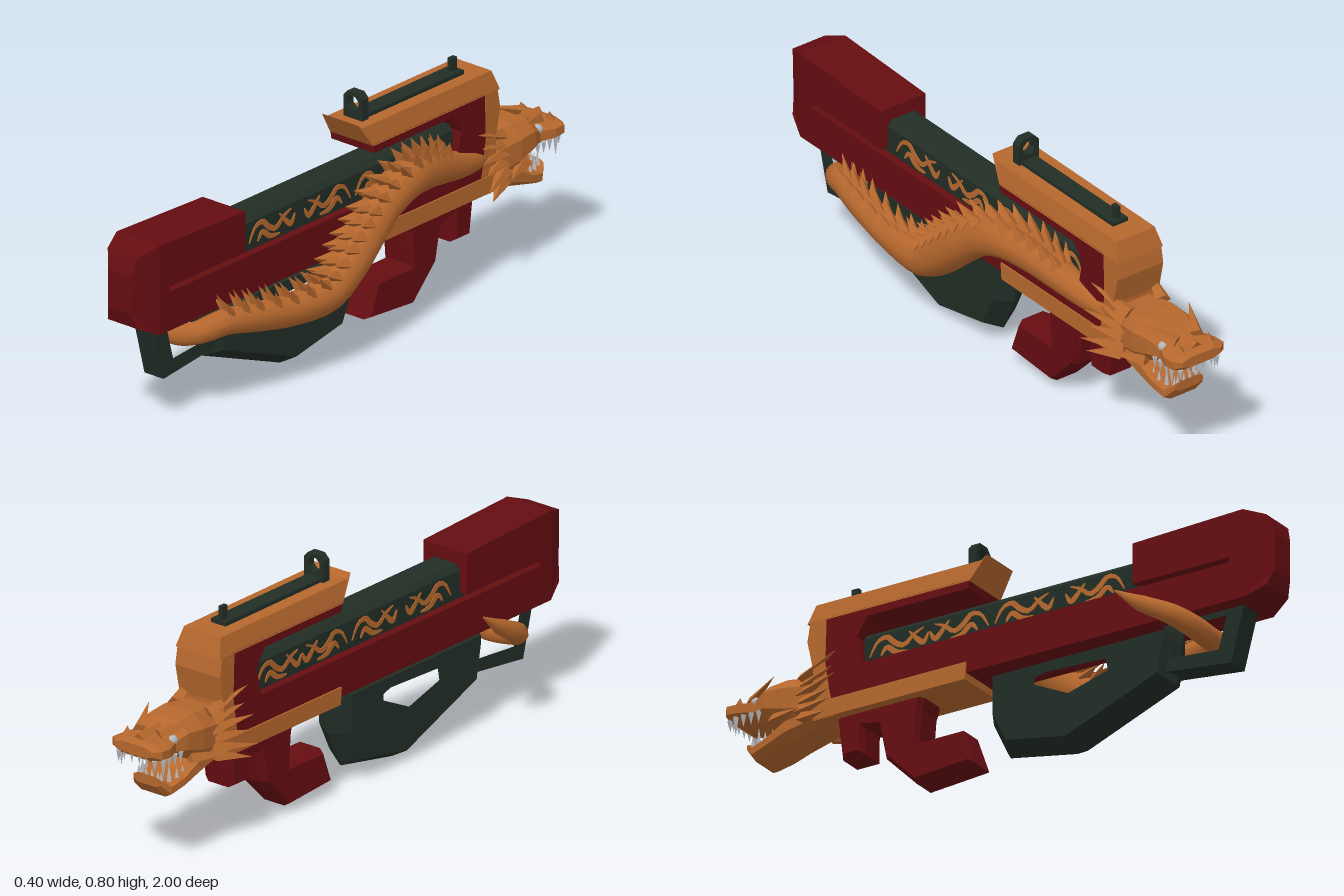
import * as THREE from 'three';

const mat = (name, color) => { const m = new THREE.MeshStandardMaterial({ color }); m.name = name; return m; };
const CX = -0.017; // centre line of the frame

// Slab cut from a [z, y] outline, h = half width across x
function slab(pts, h, { holes = [], bevel = 0, side = 0 } = {}) {
  const shape = new THREE.Shape(pts.map(p => new THREE.Vector2(...p)));
  for (const hole of holes) shape.holes.push(new THREE.Path(hole.map(p => new THREE.Vector2(...p))));
  const depth = 2 * (h - side);
  const g = new THREE.ExtrudeGeometry(shape, {
    depth, bevelEnabled: bevel > 0, bevelSegments: 1, bevelSize: bevel, bevelThickness: side, bevelOffset: -bevel,
  });
  return g.translate(0, 0, -depth / 2).rotateY(-Math.PI / 2).translate(CX, 0, 0);
}

// Change x about the centre line by a rule, then refresh the facets
function widen(g, rule) {
  const p = g.attributes.position;
  for (let i = 0; i < p.count; i++) p.setX(i, CX + (p.getX(i) - CX) * rule(p.getY(i), p.getZ(i)));
  g.computeVertexNormals();
  return g;
}

// Skin over rings of points, with closed ends
function loft(rings, smooth) {
  const n = rings[0].length, pos = [], idx = [], last = (rings.length - 1) * n;
  rings.forEach(r => r.forEach(v => pos.push(v.x, v.y, v.z)));
  for (let i = 0; i < rings.length - 1; i++) for (let j = 0; j < n; j++) {
    const a = i * n + j, b = i * n + (j + 1) % n;
    idx.push(a, b, b + n, a, b + n, a + n);
  }
  for (let j = 1; j < n - 1; j++) idx.push(0, j + 1, j, last, last + j, last + j + 1);
  let g = new THREE.BufferGeometry();
  g.setAttribute('position', new THREE.Float32BufferAttribute(pos, 3));
  g.setIndex(idx);
  if (!smooth) g = g.toNonIndexed();
  g.computeVertexNormals();
  return g;
}

// Chamfered head sections [z, yLow, yHigh, halfWidth], running towards -z
const SECTION = [[1, .45], [1, -.45], [.65, -1], [-.65, -1], [-1, -.45], [-1, .45], [-.6, 1], [.6, 1]];
const headLoft = rows => loft(rows.map(([z, a, b, h]) =>
  SECTION.map(([u, v]) => new THREE.Vector3(CX + u * h, (a + b) / 2 + v * (b - a) / 2, z))), false);

function spike(base, dir, len, r, flat = 1) {
  const g = new THREE.ConeGeometry(r, len, 4).toNonIndexed();
  g.computeVertexNormals();
  g.translate(0, len / 2, 0).scale(1, 1, flat);
  g.applyQuaternion(new THREE.Quaternion().setFromUnitVectors(new THREE.Vector3(0, 1, 0), dir.clone().normalize()));
  return g.translate(base.x, base.y, base.z);
}

// Tapered flat ribbon outline along [z, y] points
function ribbon(pts, w) {
  const c = new THREE.SplineCurve(pts.map(p => new THREE.Vector2(...p)));
  const a = [], b = [], N = 14;
  for (let i = 0; i <= N; i++) {
    const p = c.getPoint(i / N), t = c.getTangent(i / N), k = w * (0.2 + 0.8 * Math.sin(Math.PI * i / N));
    a.push([p.x - t.y * k, p.y + t.x * k]);
    b.unshift([p.x + t.y * k, p.y - t.x * k]);
  }
  return a.concat(b);
}

export function createModel() {
  const root = new THREE.Group();
  const gold = mat('bronze gold', 0xb5672d), red = mat('dark red', 0x650d11);
  const dark = mat('dark green', 0x212d25), grey = mat('ivory grey', 0xb4b6ba);
  const add = (name, g, m) => { const o = new THREE.Mesh(g, m); o.name = name; root.add(o); return o; };
  const V = (x, y, z) => new THREE.Vector3(x, y, z);

  // Red shell: stock with slot, lower body, front block and strip under the top rail
  add('shell', slab([[.91, .635], [.91, .335], [-.64, .335], [-.64, .65], [-.095, .65], [-.1, .62], [-.47, .62],
    [-.51, .56], [-.49, .466], [.86, .466], [.86, .483], [.505, .483], [.505, .62]], .088), red);
  add('buttEnd', widen(slab([[.91, .635], [.98, .61], [1, .55], [1, .425], [.98, .37], [.91, .335]], .088),
    (y, z) => z > .99 ? .5 : z > .95 ? .72 : 1), red);

  // Magazine lying along the top
  const magShape = new THREE.Shape([[-.06, .45], [.06, .45], [.06, .558], [.043, .576], [-.043, .576], [-.06, .558]]
    .map(p => new THREE.Vector2(...p)));
  const mag = new THREE.ExtrudeGeometry(magShape, { depth: 1.03, bevelEnabled: false });
  add('magazine', mag.translate(CX, 0, -.5), dark);

  // Scroll ornaments on both magazine sides
  const scrolls = [
    [[.12, -.025], [.09, .02], [.05, .03], [.02, .005], [-.02, -.012], [-.06, .015], [-.1, .03]],
    [[.075, -.03], [.05, -.005], [.01, -.03], [-.04, -.035]],
    [[-.04, .03], [-.075, -.005], [-.1, -.02], [-.12, .01]],
  ];
  [.35, .09, -.15, -.37].forEach((z0, i) => {
    const f = i % 2 ? -1 : 1;
    for (const s of scrolls)
      add('scrollOrnament', slab(ribbon(s.map(([z, y]) => [z0 + f * z * .9, .514 + y]), .0095), .063), gold);
  });

  // Gold frame: tapered top rail, front post and lower rail
  add('topRail', widen(slab([[-.04, .727], [-.058, .712], [-.667, .71], [-.69, .645], [-.095, .645]], .089),
    y => y > .69 ? .83 : 1), gold);
  add('frontPost', slab([[-.62, .65], [-.678, .65], [-.69, .585], [-.67, .49], [-.67, .31], [-.59, .31], [-.61, .4], [-.625, .5]], .09), gold);
  add('lowerRail', slab([[-.105, .37], [-.11, .312], [-.66, .312], [-.66, .37]], .093), gold);

  // Sights
  add('sightBase', slab([[-.11, .7], [-.59, .7], [-.59, .724], [-.11, .724]], .029), dark);
  add('frontSight', slab([[-.555, .71], [-.58, .71], [-.58, .767], [-.555, .767]], .008), dark);
  const ring = new THREE.Shape([[-.039, .7], [.039, .7], [.039, .782], [.021, .801], [-.021, .801], [-.039, .782]]
    .map(p => new THREE.Vector2(...p)));
  const eyelet = new THREE.Path();
  for (let i = 0; i < 8; i++) {
    const a = (i + .5) * Math.PI / 4;
    eyelet[i ? 'lineTo' : 'moveTo'](.025 * Math.cos(a), .763 + .025 * Math.sin(a));
  }
  ring.holes.push(eyelet);
  add('rearSight', new THREE.ExtrudeGeometry(ring, { depth: .03, bevelEnabled: false }).translate(CX, 0, -.13), dark);

  // Grips
  add('rearGrip', slab([[.635, .345], [.635, .28], [.61, .145], [.245, .003], [0, .05], [-.06, .175], [-.06, .345]], .065,
    { holes: [[[.44, .2], [.25, .145], [.095, .22], [.095, .29], [.16, .31], [.42, .3]]], bevel: .035, side: .063 }), dark);
  add('rearLoop', slab([[.885, .34], [.835, .15], [.58, .18], [.59, .34]], .039,
    { holes: [[[.82, .315], [.79, .205], [.61, .22], [.62, .315]]] }), dark);
  add('frontGrip', slab([[-.28, .34], [-.3, .275], [-.31, .165], [-.147, .165], [-.105, .045], [-.32, .028], [-.43, .14],
    [-.452, .25], [-.51, .265], [-.51, .175], [-.59, .175], [-.61, .34]], .06, { bevel: .012, side: .02 }), red);

  // Serpent body: [x, y, z, radius] from tail tip to neck
  const path = [[-.183, .432, .49, .003], [-.178, .37, .58, .026], [-.16, .315, .68, .034], [-.105, .28, .73, .036],
    [0, .265, .74, .037], [.07, .285, .725, .038], [.1, .3, .64, .042], [.118, .283, .52, .048], [.13, .258, .355, .052],
    [.137, .268, .195, .062], [.137, .34, .09, .067], [.135, .41, .01, .067], [.128, .47, -.07, .065], [.12, .513, -.18, .065],
    [.098, .507, -.29, .063], [.08, .48, -.39, .055], [.06, .447, -.5, .045], [.04, .425, -.62, .036]];
  const curve = new THREE.CatmullRomCurve3(path.map(p => V(p[0], p[1], p[2])));
  const frame = t => {
    const f = t * (path.length - 1), i = Math.min(Math.floor(f), path.length - 2);
    const p = curve.getPoint(t), d = curve.getTangent(t);
    const s = d.clone().cross(V(0, 1, 0)).normalize(), u = s.clone().cross(d);
    return { p, d, s, u, r: THREE.MathUtils.lerp(path[i][3], path[i + 1][3], f - i) };
  };
  const rings = [];
  for (let i = 0; i <= 51; i++) {
    const { p, s, u, r } = frame(i / 51);
    rings.push(Array.from({ length: 10 }, (_, j) => {
      const a = j * Math.PI / 5;
      return p.clone().addScaledVector(u, r * Math.cos(a)).addScaledVector(s, r * Math.sin(a));
    }));
  }
  add('serpentBody', loft(rings, true), gold);

  // Back spines leaning towards the tail
  for (let i = 0; i < 21; i++) {
    const { p, d, s, u, r } = frame(.36 + i * .0265);
    for (const k of [-.45, 0, .45]) {
      const dir = u.clone().addScaledVector(d, -.75).addScaledVector(s, k * .7);
      const base = p.clone().addScaledVector(u, r * .75).addScaledVector(s, k * r);
      add('backSpine', spike(base, dir, (k ? .045 : .07) + r * .35, r * .42, .8), gold);
    }
  }

  // Head: skull with upper snout, and open lower jaw
  add('skull', headLoft([[-.6, .33, .47, .075], [-.7, .32, .48, .09], [-.78, .335, .49, .1], [-.85, .365, .485, .095],
    [-.89, .38, .455, .08], [-.94, .385, .45, .1], [-.98, .39, .45, .1], [-1, .405, .44, .075]]), gold);
  add('lowerJaw', headLoft([[-.66, .31, .38, .08], [-.78, .28, .36, .085], [-.85, .262, .315, .082],
    [-.905, .247, .3, .075], [-.935, .285, .318, .055]]), gold);
  add('noseRidge', spike(V(CX, .44, -.97), V(0, .25, 1), .14, .03), gold);

  for (const s of [-1, 1]) {
    // Eyes, brows, nostrils and cheek horns
    add('eye', new THREE.SphereGeometry(.017, 8, 6).translate(CX + s * .068, .437, -.892), grey);
    add('brow', spike(V(CX + s * .04, .458, -.925), V(s * .5, .3, 1), .14, .026, .7), gold);
    add('nostril', spike(V(CX + s * .055, .435, -.965), V(s * .1, 1, .2), .04, .026), gold);
    add('cheekHorn', spike(V(CX + s * .075, .36, -.82), V(s * .45, -.1, 1), .14, .028, .7), gold);
    // Mane swept backwards
    for (let i = 0; i < 6; i++) {
      const y = .335 + i * .028;
      add('maneSpike', spike(V(CX + s * (.085 - .004 * i), y, -.71 - .012 * (i % 2)),
        V(s * (.5 - .05 * i), (i - 2) * .12, 1), .13 + .035 * (i % 2), .028, .7), gold);
    }
    // Teeth along both jaws
    for (let i = 0; i < 5; i++) {
      const z = -.985 + i * .028, long = i === 1;
      add('upperTooth', spike(V(CX + s * (.072 + .012 * Math.min(i, 1)), .398, z), V(0, -1, 0), long ? .065 : .04, .011), grey);
      add('lowerTooth', spike(V(CX + s * (.045 + .008 * Math.min(i, 2)), .295, z + .065), V(0, 1, 0), long ? .065 : .042, .01), grey);
    }
  }
  // Front teeth
  for (const x of [-.045, -.015, .015, .045]) {
    add('upperFrontTooth', spike(V(CX + x, .412, -.99), V(0, -1, 0), .04, .01), grey);
    add('lowerFrontTooth', spike(V(CX + x * .8, .305, -.925), V(0, 1, 0), .035, .009), grey);
  }
  return root;
}
